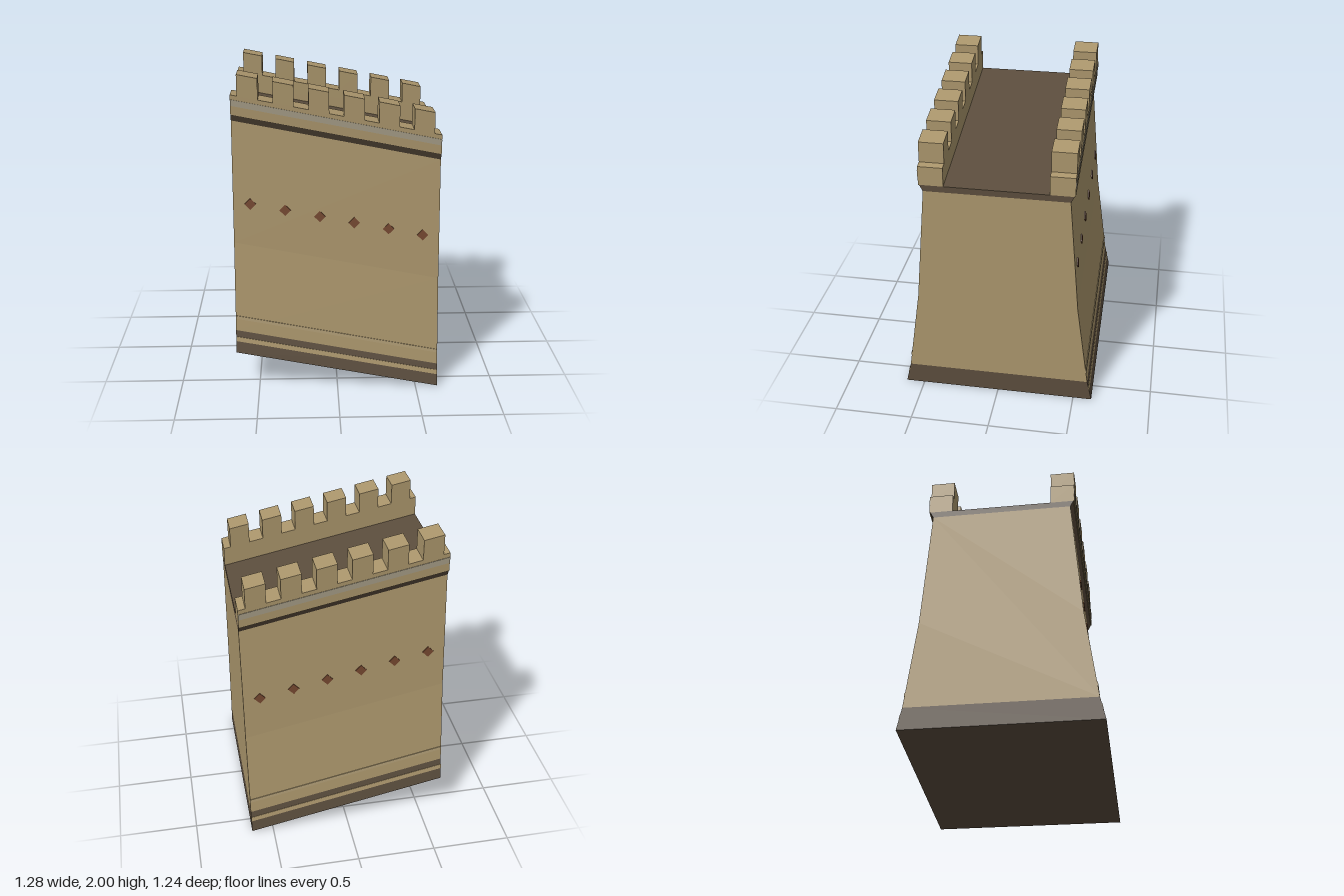
import * as THREE from 'three';

const WIDTH = 1.28, SLOPE = 0.2, PITCH = 0.214;

const material = (name, color) => {
  const m = new THREE.MeshStandardMaterial({ color });
  m.name = name;
  return m;
};

// Wall half-depth at given heights (battered, slightly concave)
const WALL = [[0, 0.62], [0.14, 0.588], [0.7, 0.51], [1.46, 0.446], [1.5, 0.467]];
function halfDepth(v) {
  let i = 0;
  while (i < WALL.length - 2 && v > WALL[i + 1][0]) i++;
  const [v0, d0] = WALL[i], [v1, d1] = WALL[i + 1];
  return d0 + (d1 - d0) * (v - v0) / (v1 - v0);
}

// Ground slope: everything steps down evenly towards +x
const lift = (x) => SLOPE * (WIDTH / 2 - x);

// Extrude a (z, y) section along x, then shear it to follow the slope
function section(points, width = WIDTH, x = 0) {
  const shape = new THREE.Shape(points.map(([z, y]) => new THREE.Vector2(z, y)));
  const g = new THREE.ExtrudeGeometry(shape, { depth: width, bevelEnabled: false });
  g.rotateY(-Math.PI / 2).translate(x + width / 2, 0, 0);
  const p = g.attributes.position;
  for (let i = 0; i < p.count; i++) p.setY(i, p.getY(i) + lift(p.getX(i)));
  g.computeVertexNormals();
  return g;
}

// Symmetric solid following the wall profile through the given heights
function layer(heights) {
  const side = heights.map((v) => [halfDepth(v), v]);
  return section([...side, ...side.map(([z, v]) => [-z, v]).reverse()]);
}

export function createModel() {
  const model = new THREE.Group();
  const stone = material('sandstone', 0xab966c);
  const dark = material('dark brown stone', 0x5b4d3d);
  const pale = material('pale grey stripe', 0xa59c86);
  const ledge = material('light sandstone', 0xae9b74);
  const rust = material('rust brown', 0x74472f);

  const add = (name, geometry, mat) => {
    const mesh = new THREE.Mesh(geometry, mat);
    mesh.name = name;
    model.add(mesh);
    return mesh;
  };

  // Main body
  add('plinth', layer([0, 0.14]), dark);
  add('wall', layer([0.14, 0.7, 1.46]), stone);
  add('roofSlab', layer([1.46, 1.5]), dark);

  for (const [side, s] of [['front', 1], ['back', -1]]) {
    // Thin horizontal bands on the battered face
    const band = (name, v0, v1, mat, t) => add(side + name, section([
      [s * (halfDepth(v0) - 0.003), v0], [s * (halfDepth(v0) + t), v0],
      [s * (halfDepth(v1) + t), v1], [s * (halfDepth(v1) - 0.003), v1],
    ]), mat);
    band('PlinthStripe', 0.072, 0.1, stone, 0.002);
    band('WallLedge', 0.215, 0.235, ledge, 0.004);

    // Parapet with its pale stripe
    const block = (z0, z1, v0, v1, width, x) =>
      section([[s * z0, v0], [s * z1, v0], [s * z1, v1], [s * z0, v1]], width, x);
    add(side + 'Parapet', block(0.32, 0.473, 1.5, 1.622), stone);
    add(side + 'ParapetStripe', block(0.47, 0.476, 1.556, 1.594), pale);

    for (let i = 0; i < 6; i++) {
      // Merlons
      add(side + 'Merlon', block(0.32, 0.473, 1.622, 1.752, 0.125, -0.5375 + PITCH * i), stone);

      // Diamond studs lying on the wall face
      const x = -0.535 + PITCH * i;
      const stud = add(side + 'Diamond', new THREE.BoxGeometry(0.05, 0.05, 0.009), rust);
      stud.position.set(x, 0.964 + lift(x), s * (halfDepth(0.964) + 0.002));
      stud.rotation.set(-s * 0.084, 0, Math.PI / 4);
    }
  }
  return model;
}
